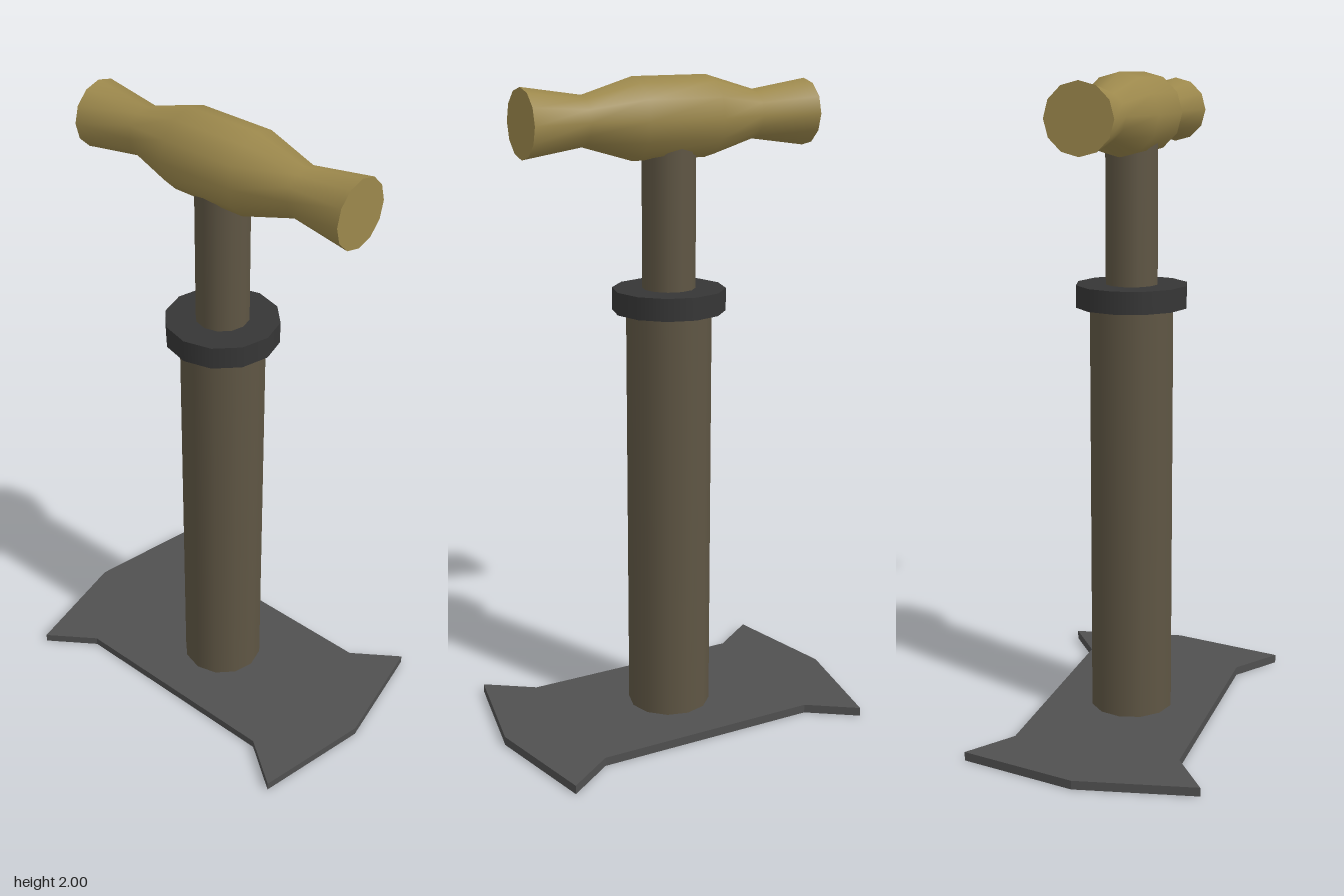
import * as THREE from 'three';
import { toCreasedNormals } from 'three/addons/utils/BufferGeometryUtils.js';

const SIDES = 12;

function part(name, geometry, color) {
  const mesh = new THREE.Mesh(geometry, new THREE.MeshStandardMaterial({ color }));
  mesh.name = name;
  return mesh;
}

// Upright cylinder spanning two heights
function column(name, radius, bottom, top, color) {
  const geometry = new THREE.CylinderGeometry(radius, radius, top - bottom, SIDES);
  geometry.translate(0, (bottom + top) / 2, 0);
  return part(name, geometry, color);
}

export function createModel() {
  const model = new THREE.Group();
  model.name = 'handPump';

  // Foot plate: flared corners and pointed ends
  const half = [[0.26, -0.355], [0.363, -0.5], [0, -0.572], [-0.363, -0.5], [-0.26, -0.355]];
  const outline = [...half, ...half.map(([x, z]) => [-x, -z])];
  const shape = new THREE.Shape(outline.map(([x, z]) => new THREE.Vector2(x, -z)));
  const plate = new THREE.ExtrudeGeometry(shape, { depth: 0.027, bevelEnabled: false });
  plate.rotateX(-Math.PI / 2);
  model.add(part('footPlate', plate, 0x505050));

  // Barrel, collar and plunger rod
  model.add(column('barrel', 0.129, 0.02, 1.32, 0x5f5644));
  model.add(column('collar', 0.171, 1.31, 1.378, 0x363636));
  model.add(column('plungerRod', 0.08, 1.37, 1.85, 0x5f5644));

  // Turned grip lying along z
  const profile = [
    [0, -0.464], [0.1, -0.464], [0.073, -0.28], [0.12, -0.12],
    [0.12, 0.12], [0.073, 0.28], [0.1, 0.464], [0, 0.464],
  ].map(([r, y]) => new THREE.Vector2(r, y));
  const grip = toCreasedNormals(new THREE.LatheGeometry(profile, SIDES), 0.8);
  grip.rotateX(Math.PI / 2);
  grip.translate(0, 1.88, 0);
  model.add(part('handle', grip, 0x9c884c));

  return model;
}
